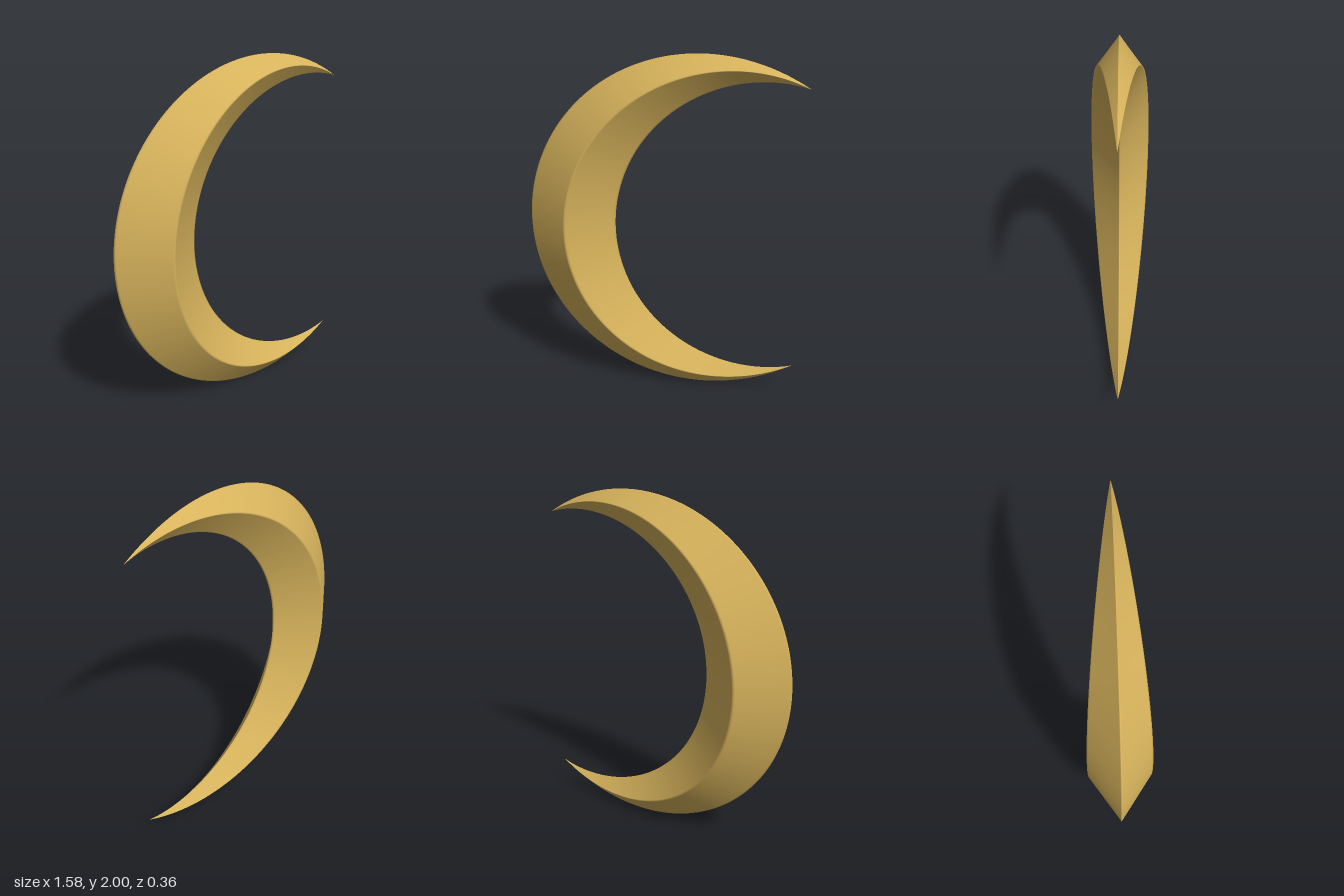
import * as THREE from 'three';

const STEPS = 160;
const TIP_X = 0.79;
const SOFT = 0.035; // share of each face used to soften its edges

// Point on an arc that opens towards +x, u from -1 (lower tip) to 1 (upper tip)
function arcPoint(u, centreX, radius, tipRadius, sweep) {
  const r = THREE.MathUtils.lerp(radius, tipRadius, Math.abs(u) ** 8);
  return new THREE.Vector3(centreX - r * Math.cos(u * sweep), 1 + r * Math.sin(u * sweep), 0);
}

// Diamond cross-section: outer rim, front ridge, inner rim, back ridge
function section(u) {
  const outer = arcPoint(u, 0.2, 1, 1.016, 2.186);
  const inner = arcPoint(u, 0.58, 0.865, 0.855, 1.814);
  const front = outer.clone().lerp(inner, 0.5);
  front.z = 0.18 * Math.max(TIP_X - front.x, 0) / (TIP_X + 0.5425);
  const back = front.clone().setZ(-front.z);
  const corners = [outer, front, inner, back];
  return corners.flatMap((c, k) => [
    c.clone().lerp(corners[(k + 3) % 4], SOFT),
    c,
    c.clone().lerp(corners[(k + 1) % 4], SOFT),
  ]);
}

// Loft the sections into one closed surface
function crescentGeometry() {
  const points = [];
  const index = [];
  const n = 12;
  for (let i = 0; i <= STEPS; i++) {
    points.push(...section((i / STEPS * 2 - 1) * 0.999));
    if (i === STEPS) break;
    for (let j = 0; j < n; j++) {
      const a = i * n + j;
      const b = i * n + (j + 1) % n;
      index.push(a, b, a + n, b, b + n, a + n);
    }
  }
  const geometry = new THREE.BufferGeometry().setFromPoints(points);
  geometry.setIndex(index);
  geometry.computeVertexNormals();
  return geometry;
}

export function createModel() {
  const gold = new THREE.MeshStandardMaterial({ color: 0xd8b45c });
  gold.name = 'gold';

  const crescent = new THREE.Mesh(crescentGeometry(), gold);
  crescent.name = 'crescent';

  const model = new THREE.Group();
  model.name = 'crescentMoon';
  model.add(crescent);
  return model;
}
